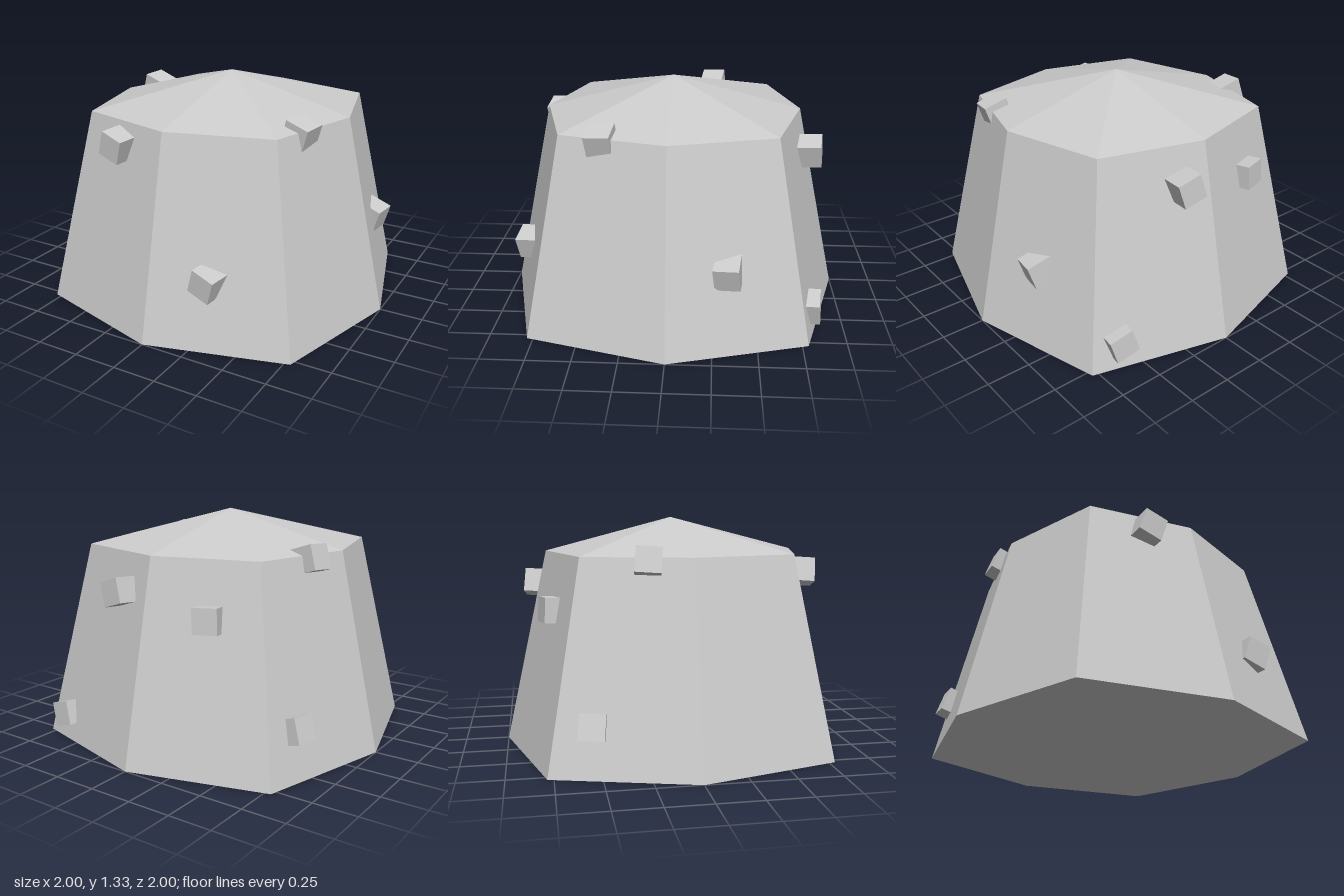
import * as THREE from 'three';

const material = new THREE.MeshStandardMaterial({ color: 0xcccccc, flatShading: true });

// Eight-sided tapered mound with a low pointed top and flat base
function createMound() {
  const profile = [[0, 0], [1, 0], [0.75, 1.135], [0, 1.33]].map(([r, y]) => new THREE.Vector2(r, y));
  const geometry = new THREE.LatheGeometry(profile, 8);
  const pos = geometry.attributes.position;
  // Push the diagonal corners out so the plan becomes a rounded square
  for (let i = 0; i < pos.count; i++) {
    const x = pos.getX(i), z = pos.getZ(i);
    const k = Math.abs(x * z) > 1e-4 ? 1.11 : 1;
    pos.setXYZ(i, x * k, pos.getY(i), z * k);
  }
  const flat = geometry.toNonIndexed();
  flat.computeVertexNormals();
  const mesh = new THREE.Mesh(flat, material);
  mesh.name = 'mound';
  return mesh;
}

// Small cubes half sunk into the walls, nearly all sharing one tilt
function createStones() {
  const tilt = [0.06, -0.16, -0.3];
  const stones = [
    { at: [-0.3, 1.015, 0.73] },
    { at: [0.32, 0.38, 0.83] },
    { at: [0.615, 1.11, 0.355] },
    { at: [0.805, 0.455, -0.33] },
    { at: [0.61, 0.15, -0.79] },
    { at: [0.175, 0.93, -0.8] },
    { at: [-0.36, 0.83, -0.72], turn: [0.06, 0.25, -0.05] },
    { at: [-0.68, 1.11, -0.235] },
    { at: [-0.78, 0.265, -0.545] },
  ];
  const group = new THREE.Group();
  group.name = 'stones';
  const cube = new THREE.BoxGeometry(0.14, 0.14, 0.14);
  stones.forEach(({ at, turn = tilt }, i) => {
    const stone = new THREE.Mesh(cube, material);
    stone.name = `stone${i + 1}`;
    stone.position.set(...at);
    stone.rotation.set(...turn);
    group.add(stone);
  });
  return group;
}

export function createModel() {
  const model = new THREE.Group();
  model.name = 'stoneMound';
  model.add(createMound(), createStones());
  return model;
}
